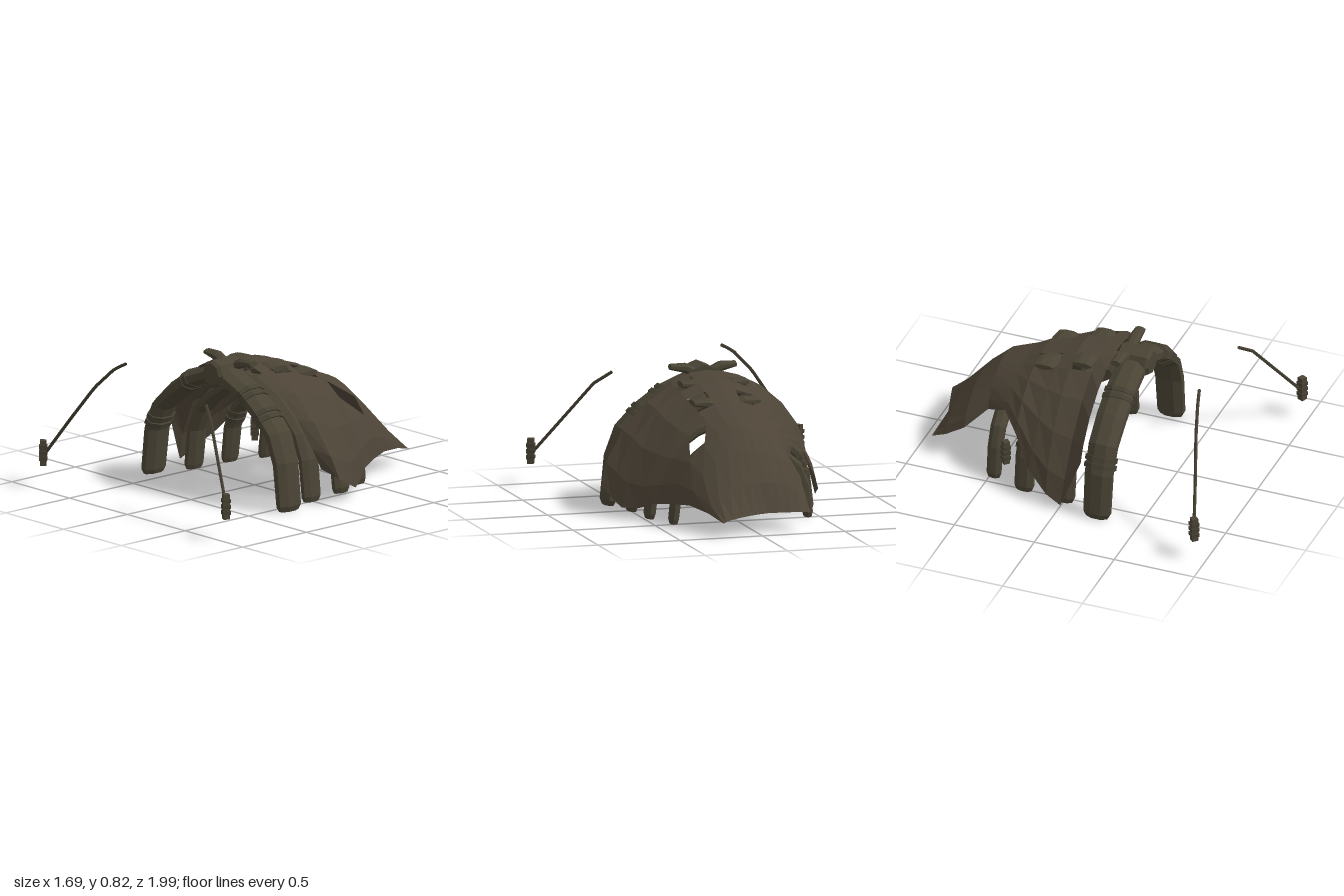
import * as THREE from 'three';

const mat = (name, color) => {
  const m = new THREE.MeshStandardMaterial({ color, flatShading: true, side: THREE.DoubleSide });
  m.name = name;
  return m;
};

// Sweep an eight-sided section along a path in the xy plane; sizes are [across path, along z]
function sweep(path, sizes) {
  const S = 8, pos = [], idx = [];
  path.forEach(([x, y], i) => {
    const a = path[Math.max(i - 1, 0)], b = path[Math.min(i + 1, path.length - 1)];
    const l = Math.hypot(b[0] - a[0], b[1] - a[1]);
    const nx = -(b[1] - a[1]) / l, ny = (b[0] - a[0]) / l;
    const [h, w] = sizes[i];
    for (let j = 0; j < S; j++) {
      const t = ((j + 0.5) / S) * Math.PI * 2;
      const c = Math.cos(t) * h * 1.08, s = Math.sin(t) * w * 1.08;
      pos.push(x + nx * c, y + ny * c, s);
      const k = (j + 1) % S, q = i * S;
      if (i < path.length - 1) idx.push(q + j, q + k, q + S + k, q + j, q + S + k, q + S + j);
    }
  });
  const e = (path.length - 1) * S;
  for (let j = 1; j < S - 1; j++) idx.push(0, j + 1, j, e, e + j, e + j + 1);
  const g = new THREE.BufferGeometry();
  g.setAttribute('position', new THREE.Float32BufferAttribute(pos, 3));
  g.setIndex(idx);
  g.computeVertexNormals();
  return g;
}

export function createModel() {
  const model = new THREE.Group();
  const hideMat = mat('hide brown', 0x4d4437);
  const boneMat = mat('old bone', 0x4a4435);
  const ropeMat = mat('dark rope', 0x443f31);
  const add = (parent, geo, m, name, x = 0, y = 0, z = 0) => {
    const mesh = new THREE.Mesh(geo, m);
    mesh.name = name;
    mesh.position.set(x, y, z);
    parent.add(mesh);
    return mesh;
  };

  // Rib arches: foot x on either side, crown height, z, half thickness, half width
  const profile = [[1, 0.05], [1, 0.08], [0.95, 0.4], [0.84, 0.61], [0.63, 0.765], [0.41, 0.885], [0.1, 0.985], [0, 1]];
  const ribs = [
    { l: 0.61, r: 0.56, h: 0.735, z: 0.24, n: 0.05, w: 0.088 },
    { l: 0.525, r: 0.49, h: 0.65, z: 0, n: 0.04, w: 0.068 },
    { l: 0.5, r: 0.46, h: 0.585, z: -0.26, n: 0.037, w: 0.062 },
    { l: 0.435, r: 0.38, h: 0.52, z: -0.475, n: 0.034, w: 0.046 },
  ];
  // Lashings: rib index, side, path segment, fraction along it
  const lashings = [[0, -1, 2, 0.4], [0, -1, 4, 0.9], [0, 1, 3, 0.8], [0, 1, 4, 0.9], [2, -1, 2, 0.6]];

  ribs.forEach((rib, i) => {
    const g = new THREE.Group();
    g.name = 'ribArch' + (i + 1);
    g.position.z = rib.z;
    for (const s of [-1, 1]) {
      const X = s < 0 ? rib.l : rib.r;
      const path = profile.map(([px, py], k) => [s * X * px, k < 2 ? 0.015 + k * 0.03 : rib.h * py]);
      const sizes = path.map((_, k) => {
        const t = k === 0 ? 0.6 : 0.75 + 0.25 * Math.min(1, k / 4);
        return [rib.n * t, rib.w * (k === 0 ? 0.75 : 0.9 + 0.1 * Math.min(1, k / 4))];
      });
      add(g, sweep(path, sizes), boneMat, 'rib');

      // paired rope bands
      lashings.filter(b => b[0] === i && b[1] === s).forEach(([, , seg, f]) => {
        const a = path[seg], b = path[seg + 1];
        const len = Math.hypot(b[0] - a[0], b[1] - a[1]);
        for (const o of [-0.022, 0.022]) {
          const at = d => {
            const t = f + (o + d) / len;
            return [a[0] + (b[0] - a[0]) * t, a[1] + (b[1] - a[1]) * t];
          };
          const size = [rib.n * 1.15, rib.w * 1.06];
          add(g, sweep([at(-0.014), at(0.014)], [size, size]), ropeMat, 'lashing');
        }
      });

      // vertebra wings that show at the front and fill the hide openings
      if (i < 3) {
        const top = [0.815, 0.75, 0.68][i], base = rib.h + [0.03, 0.06, 0.06][i];
        const w = [0.035, 0.068, 0.07][i];
        const wing = sweep([[s * 0.02, base], [s * 0.11, (base + top) / 2 + 0.015], [s * 0.2, top]],
          [[0.025, w], [0.028, w], [0.016, w * 0.85]]);
        add(g, wing, boneMat, 'vertebraWing', 0, 0, [-0.05, -0.02, 0.005][i]);
      }
    }
    // vertebra at the crown
    const R = [0.085, 0.058, 0.052, 0.045][i], L = [0.17, 0.15, 0.14, 0.11][i];
    const body = new THREE.CylinderGeometry(R, R, L, 8).rotateX(Math.PI / 2);
    add(g, body, boneMat, 'vertebra', 0, rib.h + 0.005, 0);
    const boss = new THREE.CylinderGeometry(R * 0.8, R, 0.02, 8).rotateX(Math.PI / 2);
    add(g, boss, boneMat, 'vertebraFace', 0, rib.h + 0.005, L / 2 + 0.01);
    model.add(g);
  });

  // Hide cover: each row holds left edge (-x), crown and right edge points
  const rows = [
    [[-0.595, 0.35, 0.13], [0, 0.795, 0.135], [0.6, 0.23, 0.02]],
    [[-0.63, 0.05, 0.015], [0, 0.79, 0.05], [0.69, 0.18, -0.04]],
    [[-0.62, 0.1, -0.08], [0, 0.775, -0.09], [0.655, 0.13, -0.13]],
    [[-0.56, 0.2, -0.21], [0, 0.74, -0.18], [0.62, 0.08, -0.23]],
    [[-0.46, 0.36, -0.33], [0, 0.69, -0.33], [0.55, 0.09, -0.33]],
    [[-0.35, 0.43, -0.44], [0, 0.64, -0.42], [0.475, 0.13, -0.43]],
    [[-0.29, 0.37, -0.57], [0, 0.575, -0.58], [0.4, 0.15, -0.58]],
    [[-0.34, 0.24, -0.7], [-0.01, 0.465, -0.7], [0.35, 0.16, -0.7]],
    [[-0.33, 0.16, -0.82], [-0.03, 0.3, -0.83], [0.29, 0.14, -0.86]],
    [[-0.32, 0.12, -0.91], [-0.06, 0.13, -0.91], [0.235, 0.1, -1.0]],
  ];
  const cols = [-1, -0.78, -0.57, -0.38, -0.22, -0.1, 0, 0.1, 0.22, 0.38, 0.57, 0.78, 1];
  // openings: cells around the wings, and a torn window on one side
  const open = new Set(['1,4', '1,7', '3,4', '3,7', '5,8', '5,9']);
  const pos = [], idx = [], n = cols.length;
  rows.forEach(([a, c, b], i) => cols.forEach((u, j) => {
    const e = u < 0 ? a : b, t = Math.abs(u) * Math.PI / 2;
    const sn = Math.sin(t), cs = Math.max(0, Math.cos(t));
    const fall = Math.pow(cs, i < 6 ? 1.42 : 1.2);
    pos.push(c[0] + (e[0] - c[0]) * sn, e[1] + (c[1] - e[1]) * fall, c[2] + (e[2] - c[2]) * (i < 6 ? 1 - cs : sn));
    if (i === rows.length - 1 || j === n - 1) return;
    const p = i * n + j;
    if (open.has(i + ',' + j)) {
      // ragged corners slant the window
      if (j === 8) idx.push(p, p + n + 1, p + n);
      if (j === 9) idx.push(p, p + 1, p + n + 1);
      return;
    }
    idx.push(p, p + 1, p + n + 1, p, p + n + 1, p + n);
  }));
  const hide = new THREE.BufferGeometry();
  hide.setAttribute('position', new THREE.Float32BufferAttribute(pos, 3));
  hide.setIndex(idx);
  hide.computeVertexNormals();
  add(model, hide, hideMat, 'hideCover');

  // Rope-bound handles: square post with three bands
  const handle = (x, y, z, turn) => {
    const g = new THREE.Group();
    g.name = 'boundHandle';
    g.position.set(x, y, z);
    g.rotation.y = turn;
    add(g, new THREE.BoxGeometry(0.038, 0.15, 0.038), boneMat, 'post');
    for (const o of [-0.035, 0, 0.035]) {
      add(g, new THREE.BoxGeometry(0.048, 0.022, 0.048), ropeMat, 'band', 0, o, 0);
    }
    model.add(g);
  };
  handle(-0.81, 0.215, 0.925, Math.PI / 4);
  handle(0.81, 0.215, 0.96, -0.45);
  handle(-0.44, 0.205, -0.4, Math.PI / 4);
  handle(0.29, 0.205, -0.33, 0.3);

  // Loose ropes at the front
  const ropes = [
    [[-0.8, 0.21, 0.92], [-0.64, 0.44, 0.865], [-0.49, 0.65, 0.81], [-0.36, 0.78, 0.77], [-0.285, 0.82, 0.75]],
    [[0.8, 0.21, 0.95], [0.64, 0.42, 0.865], [0.48, 0.63, 0.78], [0.385, 0.7, 0.73]],
  ];
  for (const pts of ropes) {
    const curve = new THREE.CurvePath();
    const v = pts.map(p => new THREE.Vector3(...p));
    for (let i = 0; i < v.length - 1; i++) curve.add(new THREE.LineCurve3(v[i], v[i + 1]));
    add(model, new THREE.TubeGeometry(curve, 16, 0.01, 5), ropeMat, 'rope');
  }
  return model;
}
